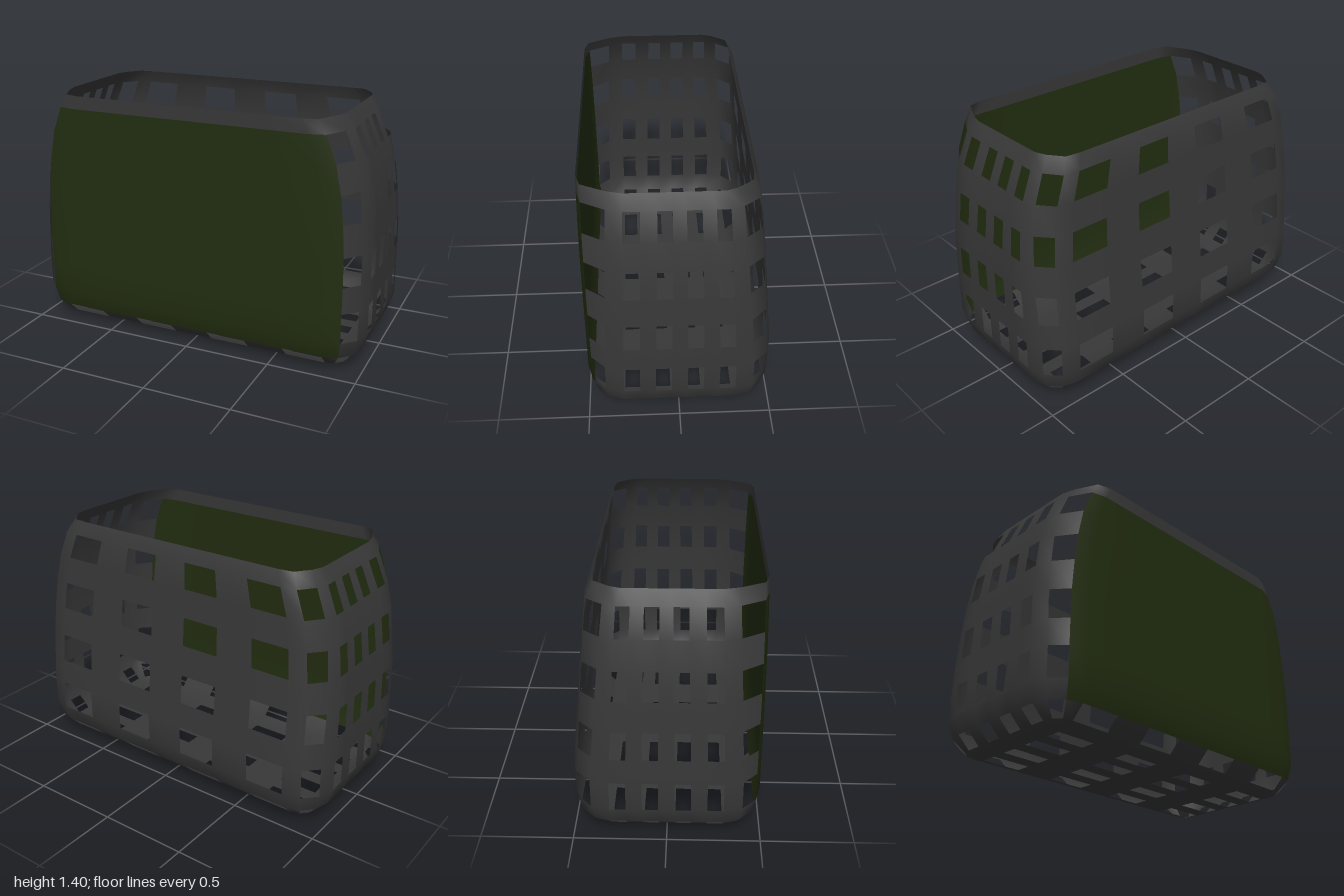
import * as THREE from 'three';
import { mergeVertices } from 'three/addons/utils/BufferGeometryUtils.js';

// Levels from floor to rim: [height, corner radius, width factor]
const LEVELS = [
  [0, 0, 1], [0.03, 0.1, 1], [0.1, 0.17, 1], [0.2, 0.2, 1], [0.37, 0.2, 1], [0.52, 0.2, 1],
  [0.685, 0.2, 0.998], [0.86, 0.2, 0.985], [1.02, 0.2, 0.965], [1.18, 0.2, 0.93],
  [1.325, 0.2, 0.868], [1.4, 0.2, 0.82],
];
const HX = 0.8, HZ = 0.3;   // centres of the rounded corners
const PER_SIDE = 10;        // seven straight columns plus three corner columns
const COUNT = PER_SIDE * 4;

// Depth positions at the base and where they drift to near the rim (the back leans in)
const Z_BASE = [-0.5, -0.473, -0.4, -0.3, -0.214, -0.129, -0.043, 0.043, 0.129, 0.214, 0.3, 0.4, 0.473, 0.5];
const Z_TOP = [-0.41, -0.398, -0.312, -0.245, -0.175, -0.108, -0.033, 0.033, 0.108, 0.19, 0.275, 0.357, 0.477, 0.5];

function lean(z, y) {
  if (y <= 0.37) return z;
  let k = 0;
  while (k < Z_BASE.length - 2 && z > Z_BASE[k + 1]) k++;
  const f = (z - Z_BASE[k]) / (Z_BASE[k + 1] - Z_BASE[k]);
  const top = THREE.MathUtils.lerp(Z_TOP[k], Z_TOP[k + 1], f);
  const out = THREE.MathUtils.lerp(z, top, (y - 0.37) / 0.955);
  return y > 1.35 && out < 0 ? out * 0.925 : out;
}

// Point j around the ring at level i: front, right, back, left
function ringPoint(i, j) {
  const [y, r, w] = LEVELS[i];
  const side = Math.floor((j % COUNT) / PER_SIDE), q = j % PER_SIDE;
  const along = side % 2 ? HZ : HX, out = side % 2 ? HX : HZ;
  const a = Math.max(0, q - 7) * Math.PI / 6;
  const u = along * (1 - 2 * Math.min(q, 7) / 7) - r * Math.sin(a); // along the side
  const v = out + r * Math.cos(a);                                  // away from the middle
  const [x, z] = [[u, v], [-v, u], [-u, -v], [v, -u]][side];
  return [x * w, y, lean(z, y)];
}

function pushQuad(list, a, b, c, d) {
  list.push(...a, ...b, ...c, ...a, ...c, ...d);
}

function makeMesh(name, list, material) {
  let geometry = new THREE.BufferGeometry();
  geometry.setAttribute('position', new THREE.Float32BufferAttribute(list, 3));
  geometry = mergeVertices(geometry, 1e-4);
  geometry.computeVertexNormals();
  const mesh = new THREE.Mesh(geometry, material);
  mesh.name = name;
  return mesh;
}

export function createModel() {
  const black = new THREE.MeshStandardMaterial({ color: 0x383838, side: THREE.DoubleSide });
  black.name = 'charcoal';
  const green = new THREE.MeshStandardMaterial({ color: 0x222d10, side: THREE.DoubleSide });
  green.name = 'dark green';

  // Walls: a lattice with openings on every other row; the front is a solid panel
  const lattice = [], panel = [];
  for (let i = 0; i < LEVELS.length - 1; i++) {
    for (let j = 0; j < COUNT; j++) {
      const q = j % PER_SIDE;
      const isPanel = (j <= 7 || j === COUNT - 1) && i >= 2 && i <= 9;
      const isHole = i % 2 === 1 && i < 10 && q % 2 === 0;
      if (isHole && !isPanel) continue;
      pushQuad(isPanel ? panel : lattice,
        ringPoint(i, j), ringPoint(i + 1, j), ringPoint(i + 1, j + 1), ringPoint(i, j + 1));
    }
  }

  // Floor: seven by seven cells with four by four openings
  for (let a = 0; a < 7; a++) {
    for (let b = 0; b < 7; b++) {
      if (a % 2 === 0 && b % 2 === 0) continue;
      const p = (m, n) => [HX * (2 * m / 7 - 1), 0, HZ * (2 * n / 7 - 1)];
      pushQuad(lattice, p(a, b), p(a + 1, b), p(a + 1, b + 1), p(a, b + 1));
    }
  }

  const model = new THREE.Group();
  model.name = 'basket';
  model.add(makeMesh('latticeShell', lattice, black), makeMesh('frontPanel', panel, green));
  return model;
}
